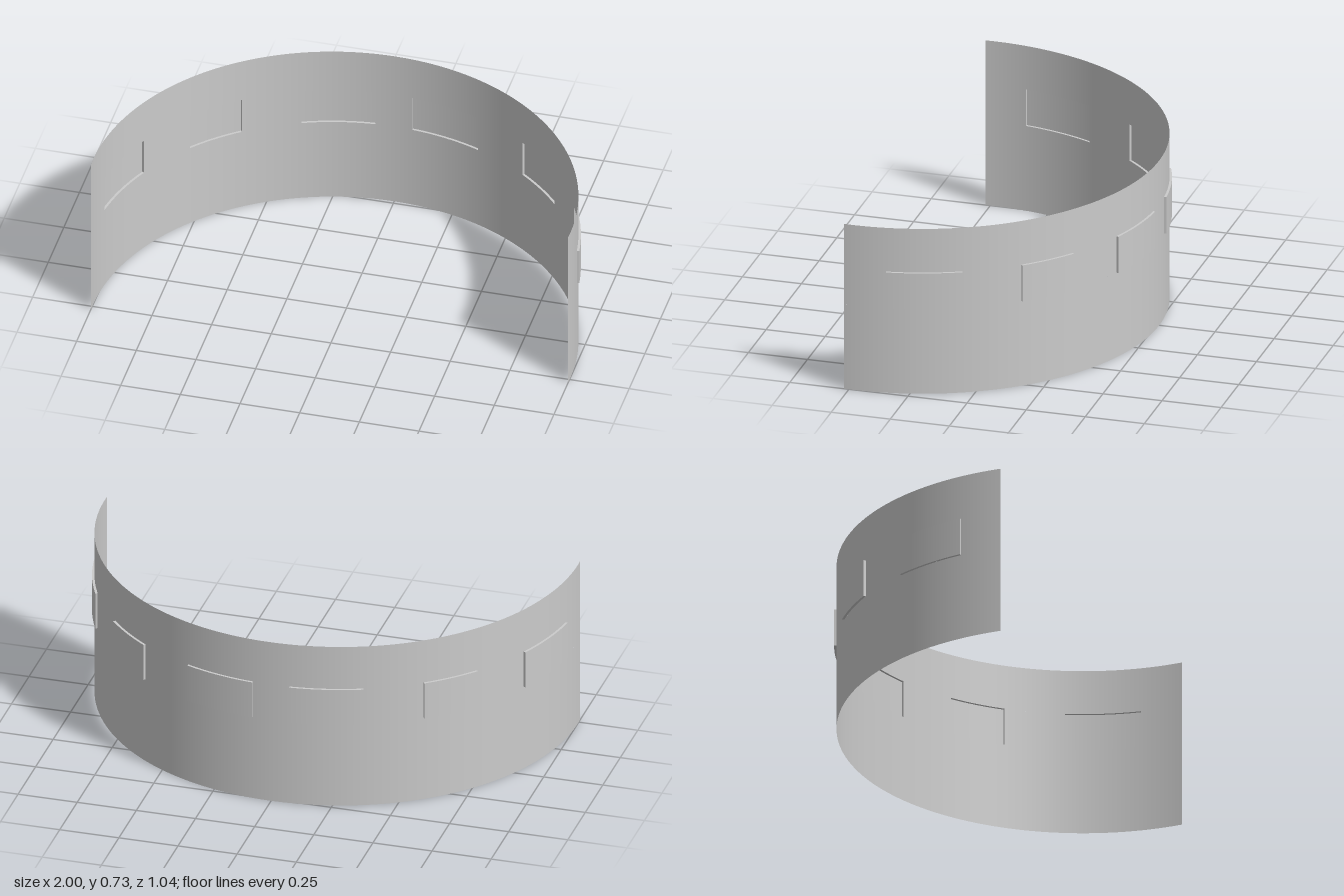
import * as THREE from 'three';

const R = 1, BUMP = 0.01, HEIGHT = 0.725;   // wall radius, panel projection, wall height
const Y0 = 0.373, Y1 = 0.533;               // bottom and top of the panels
const CENTRE_Z = 0.486;                     // centre of the arc
const END = 92;                             // wall end, degrees from the middle of the back
const RIGHT_HALF = [[4.4, 21.7], [36, 49.8], [64.2, 81.9]];

const rad = THREE.MathUtils.degToRad;
const segments = (a0, a1) => Math.max(4, Math.round(a1 - a0));

export function createModel() {
  const group = new THREE.Group();
  group.name = 'curvedWall';
  const material = new THREE.MeshStandardMaterial({ color: 0xcccccc, side: THREE.DoubleSide });

  const add = (name, geometry, parent) => {
    const mesh = new THREE.Mesh(geometry, material);
    mesh.name = name;
    parent.add(mesh);
  };

  // Curved sheet between two angles and two heights
  const sheet = (name, a0, a1, y0, y1, r, parent = group) => {
    const g = new THREE.CylinderGeometry(r, r, y1 - y0, segments(a0, a1), 1, true,
      Math.PI - rad(a1), rad(a1 - a0));
    add(name, g.translate(0, (y0 + y1) / 2, CENTRE_Z), parent);
  };

  // Continuous bands below and above the panels
  sheet('lowerWall', -END, END, 0, Y0, R);
  sheet('upperWall', -END, END, Y1, HEIGHT, R);

  const panels = [...RIGHT_HALF.map(([a, b]) => [-b, -a]).reverse(), ...RIGHT_HALF];

  // Wall sections between the panels
  let start = -END;
  for (const [a0, a1] of [...panels, [END, END]]) {
    sheet('wallBetweenPanels', start, a0, Y0, Y1, R);
    start = a1;
  }

  // Shallow panels pushed outward, hollow on the inside
  for (const [a0, a1] of panels) {
    const panel = new THREE.Group();
    panel.name = 'raisedPanel';
    group.add(panel);
    sheet('panelFace', a0, a1, Y0, Y1, R + BUMP, panel);
    for (const y of [Y0, Y1]) {
      const rim = new THREE.RingGeometry(R, R + BUMP, segments(a0, a1), 1,
        rad(a0 - 90), rad(a1 - a0));
      rim.rotateX(Math.PI / 2).translate(0, y, CENTRE_Z);
      // The lower rim faces down, the upper one up
      if (y === Y1) {
        rim.index.array.reverse();
        rim.computeVertexNormals();
      }
      add('panelRim', rim, panel);
    }
    for (const a of [a0, a1]) {
      const side = new THREE.PlaneGeometry(BUMP, Y1 - Y0);
      // Turn the first end so that both ends face outward
      if (a === a0) side.rotateY(Math.PI);
      side.rotateY(0).translate(R + BUMP / 2, 0, 0).rotateY(rad(90 - a));
      add('panelSide', side.translate(0, (Y0 + Y1) / 2, CENTRE_Z), panel);
    }
  }
  return group;
}
